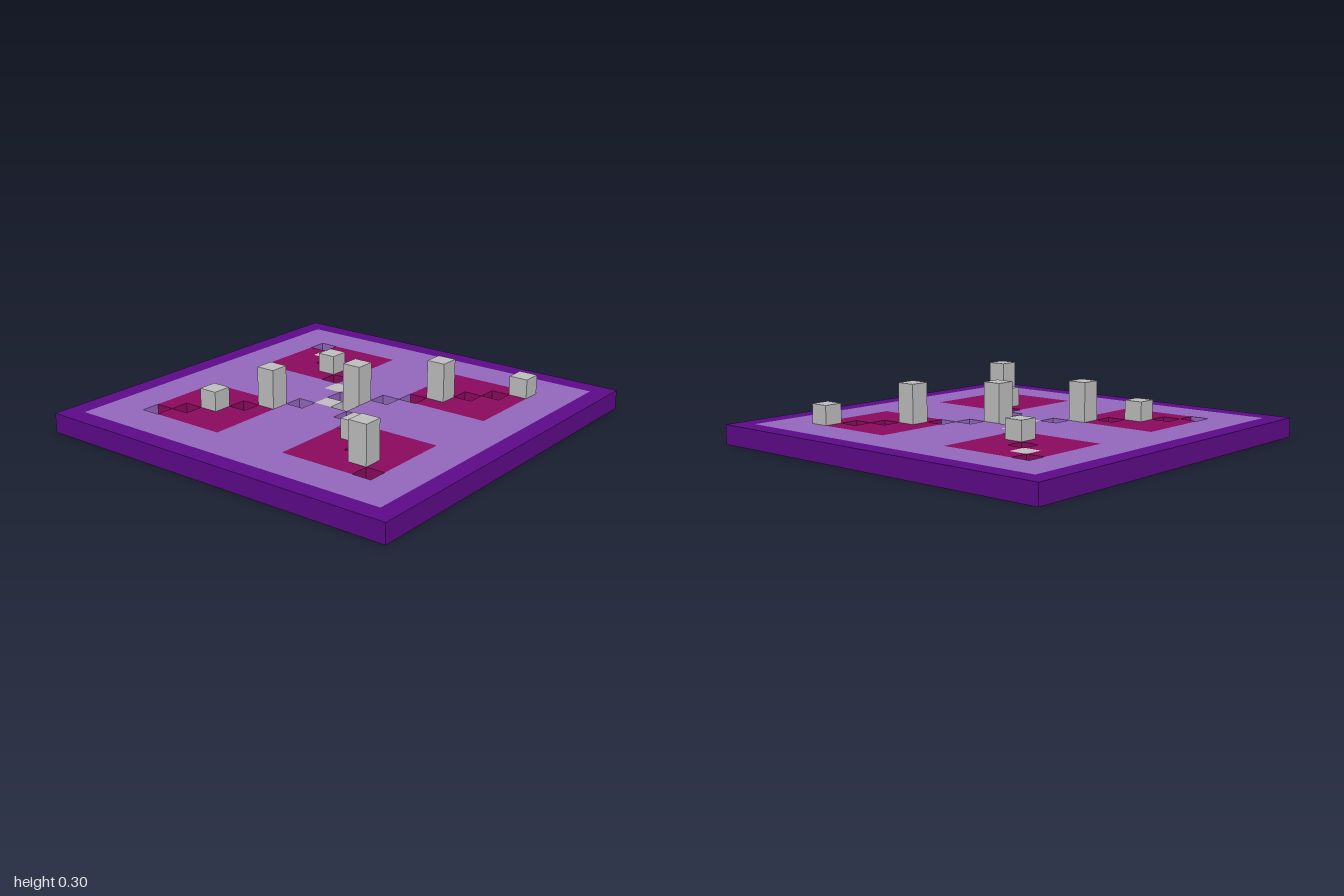
import * as THREE from 'three';
import { mergeGeometries } from 'three/addons/utils/BufferGeometryUtils.js';

const CELL = 0.1;
const COUNT = 20;

const makeMaterial = (name, color) => {
  const material = new THREE.MeshStandardMaterial({ color });
  material.name = name;
  return material;
};

// Cells from one corner of each diagonal to the other.
// Number = height in cells, 0 = an open shaft through the board.
const FALLING = [0, 1, 0, 2, 0, 1, 0, 0, 0, 0, 2, 0, 3, 0]; // back right to front left
const RISING = [0, 0, 2, 0, 3, 0, 1, 3, 0, 0, 3, 0, 0, 2]; // front right to back left

// Height on a diagonal cell, or undefined elsewhere
function diagonalHeight(i, k) {
  if (i < 3 || i > 16) return undefined;
  if (i === k) return FALLING[i - 3];
  if (i + k === COUNT - 1) return RISING[i - 3];
  return undefined;
}

// Which part of the board a cell belongs to, or null outside it
function boardPart(i, k) {
  if (Math.min(i, k) < 0 || Math.max(i, k) >= COUNT) return null;
  const rx = Math.abs(i - 9.5), rz = Math.abs(k - 9.5);
  if (Math.max(rx, rz) > 9) return 'rim';
  const inlaid = (r) => r > 2 && r < 7;
  return inlaid(rx) && inlaid(rz) ? 'inlays' : 'field';
}

const isSolid = (i, k) => boardPart(i, k) !== null && diagonalHeight(i, k) !== 0;
const centre = (i) => (i - 9.5) * CELL;

export function createModel() {
  const group = new THREE.Group();
  group.name = 'pillarBoard';
  const materials = {
    rim: makeMaterial('deep purple', 0x5e0b8a),
    field: makeMaterial('lavender', 0x9467bd),
    inlays: makeMaterial('crimson', 0x8b0a5e),
    pillar: makeMaterial('silver', 0xc0c0c0),
  };

  // Square face, turned towards +y and then placed on a cell
  const half = CELL / 2;
  const face = (i, k, rotX, rotY) => new THREE.PlaneGeometry(CELL, CELL)
    .translate(0, 0, half).rotateX(rotX).rotateY(rotY)
    .translate(centre(i), half, centre(k));
  const sides = [[0, 1, 0], [1, 0, Math.PI / 2], [0, -1, Math.PI], [-1, 0, -Math.PI / 2]];

  // Board: only the exposed faces of each cell, gathered by part
  const faces = { rim: [], field: [], inlays: [] };
  for (let i = 0; i < COUNT; i++) {
    for (let k = 0; k < COUNT; k++) {
      if (diagonalHeight(i, k) !== undefined) continue;
      const list = faces[boardPart(i, k)];
      list.push(face(i, k, -Math.PI / 2, 0), face(i, k, Math.PI / 2, 0));
      for (const [di, dk, turn] of sides) {
        if (!isSolid(i + di, k + dk)) list.push(face(i, k, 0, turn));
      }
    }
  }
  for (const [name, list] of Object.entries(faces)) {
    const mesh = new THREE.Mesh(mergeGeometries(list), materials[name]);
    mesh.name = name;
    group.add(mesh);
  }

  // Pillars, standing in the board along both diagonals
  const pillars = new THREE.Group();
  pillars.name = 'pillars';
  for (let i = 0; i < COUNT; i++) {
    for (const k of [i, COUNT - 1 - i]) {
      const cells = diagonalHeight(i, k);
      if (!cells) continue;
      const height = cells * CELL;
      const pillar = new THREE.Mesh(new THREE.BoxGeometry(CELL, height, CELL), materials.pillar);
      pillar.position.set(centre(i), height / 2, centre(k));
      pillar.name = cells === 1 ? 'flushTile' : 'pillar';
      pillars.add(pillar);
    }
  }
  group.add(pillars);
  return group;
}
